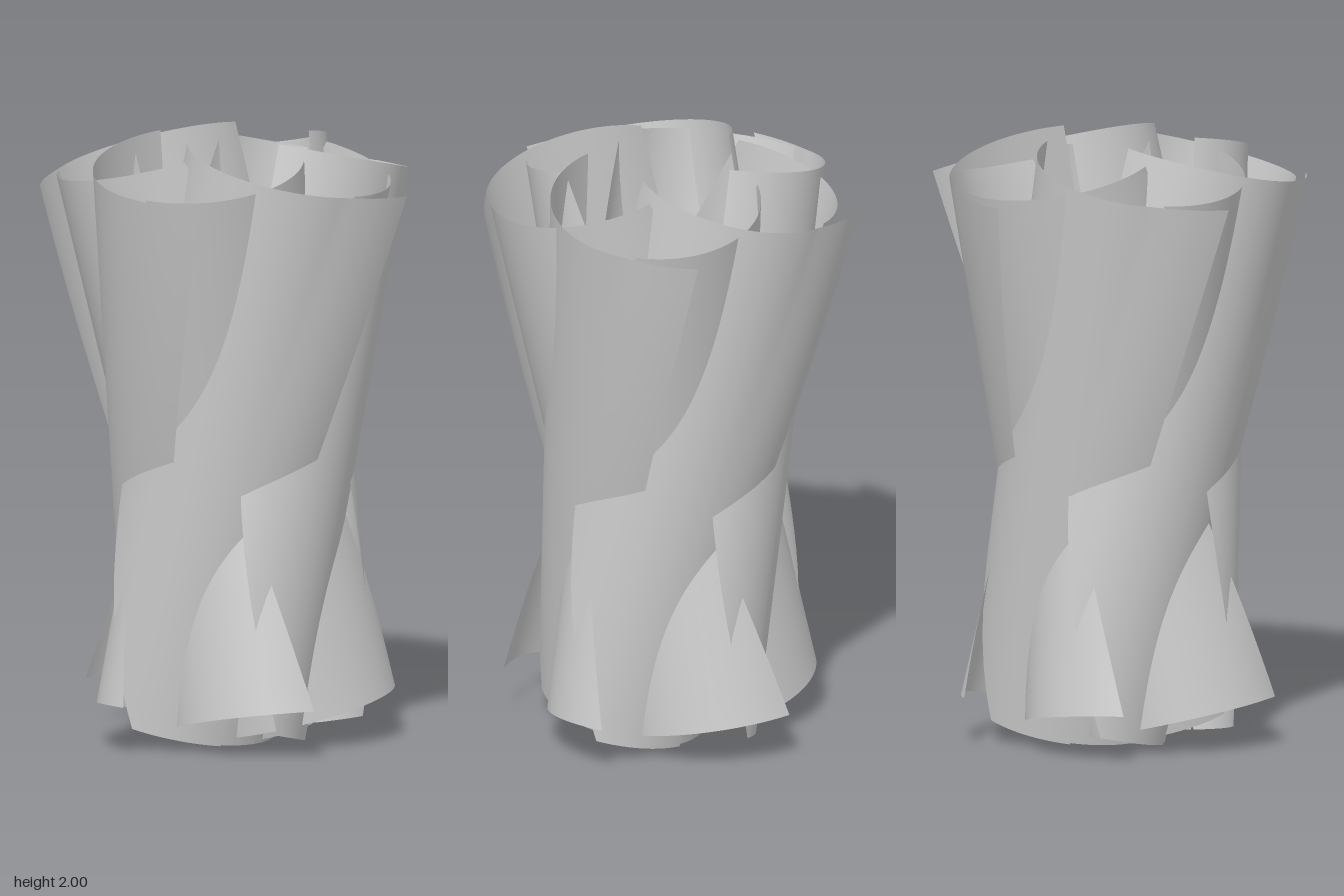
import * as THREE from 'three';

const { degToRad: rad, lerp } = THREE.MathUtils;
const material = new THREE.MeshStandardMaterial({ color: 0xcccccc, side: THREE.DoubleSide });

// Tilted axis of one rolled tube, leaning outwards at the top and passing beside the centre
const lean = rad(43);
const out = new THREE.Vector3(Math.cos(lean), 0, Math.sin(lean));
const side = new THREE.Vector3(-Math.sin(lean), 0, Math.cos(lean));
const bottom = out.clone().multiplyScalar(-0.19).addScaledVector(side, 0.06).setY(0.08);
const top = out.clone().multiplyScalar(0.25).addScaledVector(side, 0.06).setY(1.935);
const axis = top.clone().sub(bottom).normalize();
const across = out.clone().addScaledVector(axis, -out.dot(axis)).normalize();

// Curved sheet around the axis; profile(u, h) returns [angle in degrees, radius]
function sheet(name, profile) {
  const geometry = new THREE.PlaneGeometry(1, 1, 72, 24);
  const pos = geometry.attributes.position;
  const p = new THREE.Vector3();
  for (let i = 0; i < pos.count; i++) {
    const h = pos.getY(i) + 0.5;
    const [angle, r] = profile(pos.getX(i) + 0.5, h);
    p.lerpVectors(bottom, top, h)
      .addScaledVector(across, r * Math.cos(rad(angle)))
      .addScaledVector(side, r * Math.sin(rad(angle)));
    pos.setXYZ(i, p.x, p.y, p.z);
  }
  geometry.computeVertexNormals();
  const mesh = new THREE.Mesh(geometry, material);
  mesh.name = name;
  return mesh;
}

// Outer half: its slanting free edge flares to a pointed tip, its other end narrows at the foot
function outerProfile(u, h) {
  const start = lerp(31, -15, h);
  const end = lerp(145, 82, (1 - h) ** 3);
  const angle = lerp(start, end, u);
  const lift = Math.max(0, 1 - (angle - start) / 40);
  const flare = Math.max(0, (h - 0.4) / 0.6);
  return [angle, 0.347 - 0.008 * u + 0.068 * flare * lift ** 1.5];
}

// Inner half: slanting edge with a corner at the foot, other end tucked under the tip
function innerProfile(u, h) {
  return [lerp(lerp(178, 258, h), lerp(391, 376, h), u), 0.35 - 0.015 * u];
}

export function createModel() {
  const model = new THREE.Group();
  model.name = 'rolledSheetVase';

  // Five interlocking tubes around the centre
  for (let k = 0; k < 5; k++) {
    const tube = new THREE.Group();
    tube.name = `rolledTube${k + 1}`;
    tube.add(sheet('flaredHalf', outerProfile), sheet('tuckedHalf', innerProfile));
    tube.rotation.y = -k * Math.PI * 2 / 5;
    tube.position.set(0.02, 0, 0.01);
    model.add(tube);
  }
  return model;
}
